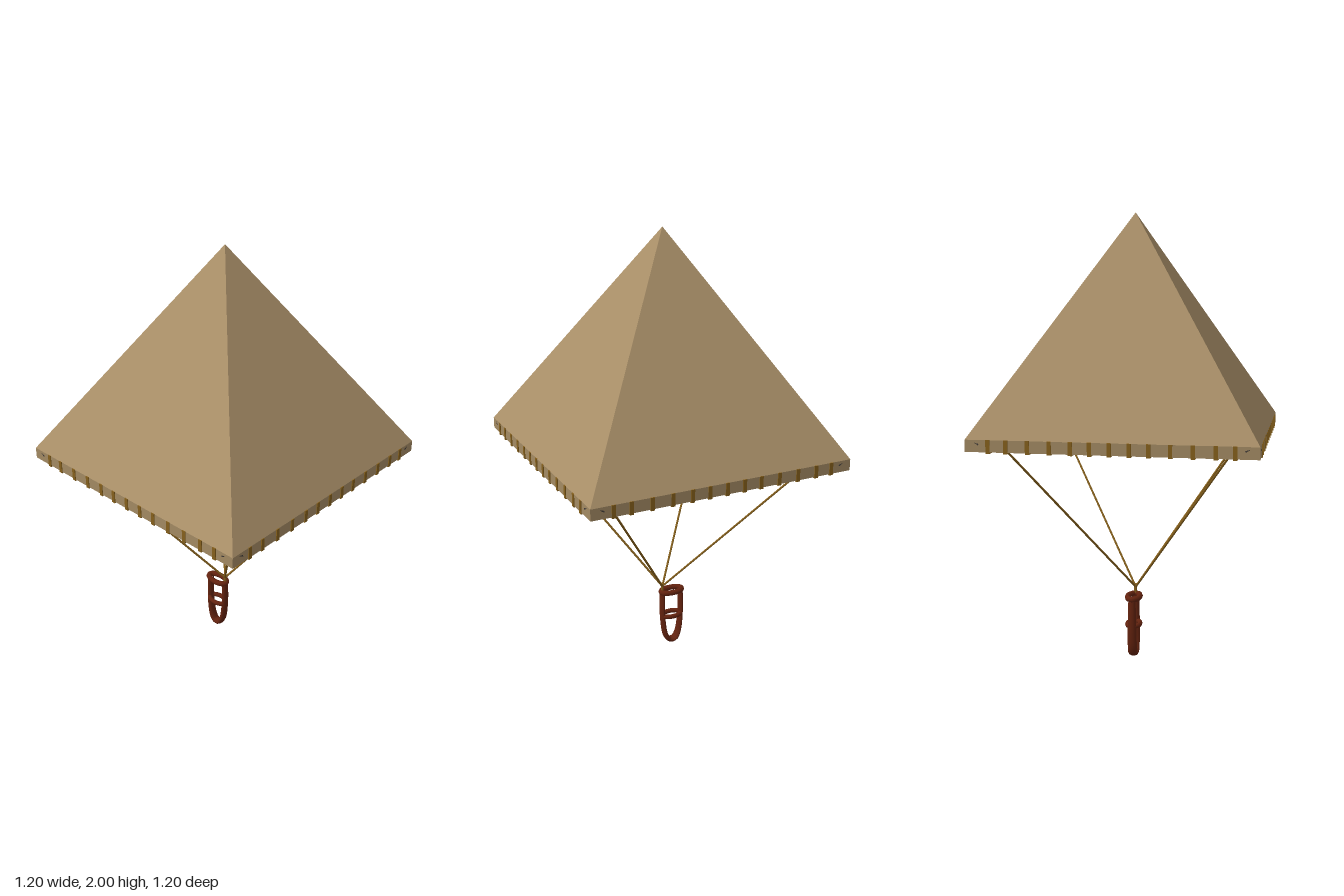
import * as THREE from 'three';

const mat = (name, color, opts = {}) => {
  const m = new THREE.MeshStandardMaterial({ color, ...opts });
  m.name = name;
  return m;
};

// Split faces so every side gets its own flat normal
function faceted(geo) {
  const g = geo.toNonIndexed();
  g.computeVertexNormals();
  return g;
}

export function createModel() {
  const canvas = mat('tan canvas', 0xa98f68, { side: THREE.DoubleSide });
  const beamTan = mat('tan wood', 0xa38a63);
  const poleGrey = mat('dark pole', 0x37322f);
  const rope = mat('golden rope', 0x86601c);
  const leather = mat('red brown leather', 0x64230f);

  const model = new THREE.Group();
  model.name = 'pyramidParachute';
  const add = (name, geo, material, parent = model) => {
    const m = new THREE.Mesh(geo, material);
    m.name = name;
    parent.add(m);
    return m;
  };
  const tube = (pts, r, segs, sides, closed = false) =>
    new THREE.TubeGeometry(new THREE.CatmullRomCurve3(pts, closed), segs, r, sides, closed);

  const HALF = 0.597, BASE = 1.063, APEX = 2, BEAM = 0.05;
  const corner = HALF * Math.SQRT2;
  const rise = APEX - BASE;

  // Open pyramid of cloth
  const cloth = new THREE.ConeGeometry(corner, rise, 4, 1, true);
  cloth.rotateY(Math.PI / 4);
  add('canopy', faceted(cloth), canvas).position.y = (BASE + APEX) / 2;

  // Each side: a frame beam with rope lashings along it
  const lashings = [0, 0.08, 0.158, 0.245, 0.335, 0.425, 0.5];
  for (let i = 0; i < 4; i++) {
    const side = new THREE.Group();
    side.name = 'frameSide';
    side.rotation.y = i * Math.PI / 2;
    model.add(side);
    const y = BASE - BEAM / 2, z = HALF - BEAM / 2;
    add('frameBeam', new THREE.BoxGeometry(HALF * 2 - BEAM, BEAM, BEAM), beamTan, side)
      .position.set(-BEAM / 2, y, z);
    for (const x of lashings) {
      for (const s of x ? [-1, 1] : [1]) {
        add('lashing', new THREE.BoxGeometry(0.017, BEAM + 0.006, BEAM + 0.007), rope, side)
          .position.set(s * x, y - 0.002, z);
      }
    }
  }

  // Each corner: a ridge pole under the cloth and a suspension rope
  const tilt = Math.atan2(corner, rise);
  const edge = Math.hypot(corner, rise);
  const R = 0.042, poleLen = edge - 0.14;
  for (let i = 0; i < 4; i++) {
    const arm = new THREE.Group();
    arm.name = 'cornerRigging';
    arm.rotation.y = Math.PI / 4 + i * Math.PI / 2;
    model.add(arm);

    const pole = add('ridgePole', faceted(new THREE.CylinderGeometry(R, R, poleLen, 4)), poleGrey, arm);
    const mid = 0.01 + poleLen / 2;
    pole.position.set(0,
      BASE + mid * Math.cos(tilt) - R * Math.sin(tilt),
      corner - mid * Math.sin(tilt) - R * Math.cos(tilt));
    pole.rotation.x = -tilt;

    const line = new THREE.LineCurve3(
      new THREE.Vector3(0, 0.31, 0), new THREE.Vector3(0, 1.1, 0.53 * Math.SQRT2));
    add('suspensionRope', new THREE.TubeGeometry(line, 1, 0.005, 6), rope, arm);
  }

  // Knot where the ropes join the harness
  add('ropeKnot', new THREE.CylinderGeometry(0.007, 0.007, 0.05, 8), rope).position.y = 0.3;

  // Hanging U-shaped strap
  const strap = [[0.275, 0], [0.2, 0.001], [0.12, -0.004], [0.05, -0.016], [0.02, -0.034],
    [0.016, -0.05], [0.02, -0.066], [0.05, -0.082], [0.12, -0.093], [0.2, -0.096], [0.275, -0.095]]
    .map(([y, z]) => new THREE.Vector3(0, y, z));
  const strapGeo = tube(strap, 0.012, 48, 10);
  // Widen the strap sideways, most at the seat
  const p = strapGeo.attributes.position;
  for (let i = 0; i < p.count; i++) p.setX(i, p.getX(i) * (1.9 - 1.8 * Math.min(p.getY(i), 0.28)));
  const lowest = 0.016 - 0.012;
  strapGeo.translate(0, -lowest, 0);
  strapGeo.computeVertexNormals();
  add('harnessStrap', strapGeo, leather);

  // Two rings around the strap
  const ring = (name, y, rx, rz, r) => {
    const pts = [];
    for (let i = 0; i < 12; i++) {
      const a = i / 12 * Math.PI * 2;
      pts.push(new THREE.Vector3(Math.cos(a) * rx, y, -0.048 + Math.sin(a) * rz));
    }
    add(name, tube(pts, r, 36, 8, true), leather);
  };
  ring('chestRing', 0.278, 0.027, 0.053, 0.013);
  ring('waistRing', 0.15, 0.028, 0.048, 0.011);

  return model;
}
